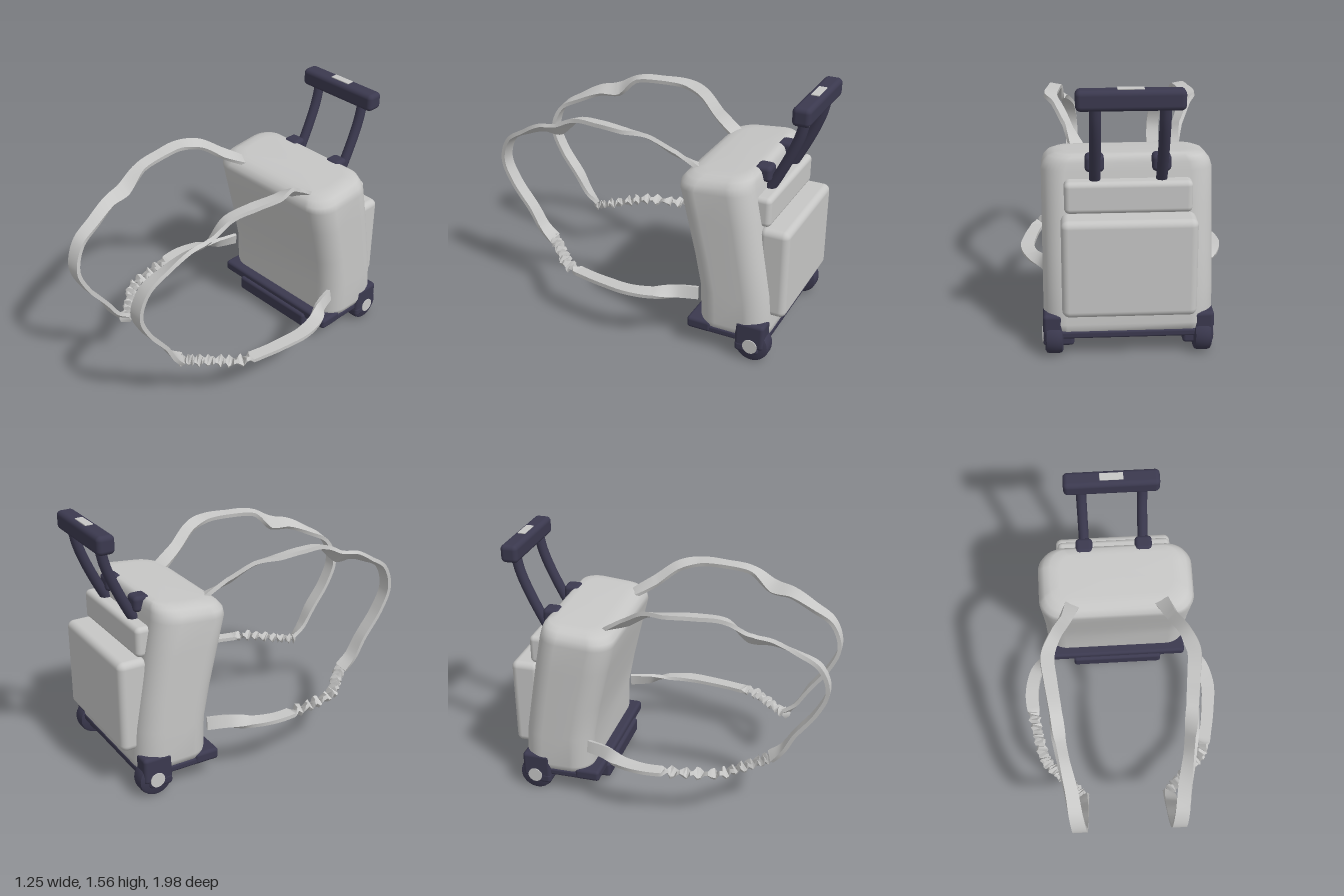
import * as THREE from 'three';
import { toCreasedNormals } from 'three/addons/utils/BufferGeometryUtils.js';
import { RoundedBoxGeometry } from 'three/addons/geometries/RoundedBoxGeometry.js';

export function createModel() {
  const group = new THREE.Group();
  const fabric = new THREE.MeshStandardMaterial({ color: 0xc6c6c5 });
  const plastic = new THREE.MeshStandardMaterial({ color: 0x3b394f });
  fabric.name = 'lightFabric';
  plastic.name = 'darkPlastic';

  const add = (name, geometry, material, x = 0, y = 0, z = 0) => {
    const mesh = new THREE.Mesh(geometry, material);
    mesh.name = name;
    mesh.position.set(x, y, z);
    group.add(mesh);
    return mesh;
  };
  // Rounded box given by its extents
  const block = (name, material, x0, x1, y0, y1, z0, z1, r = 0.02) =>
    add(name, new RoundedBoxGeometry(x1 - x0, y1 - y0, z1 - z0, 4, r), material,
      (x0 + x1) / 2, (y0 + y1) / 2, (z0 + z1) / 2);

  // Leaning body: rounded rectangles stacked as [y, half width, front z, back z, radius, slope]
  const rings = [
    [0.145, 0.43, -0.47, -0.85, 0.1, 0],
    [0.16, 0.46, -0.44, -0.87, 0.12, 0],
    [0.2, 0.475, -0.432, -0.875, 0.13, 0],
    [0.4, 0.475, -0.425, -0.86, 0.13, 0],
    [0.6, 0.475, -0.385, -0.825, 0.13, 0],
    [0.85, 0.475, -0.325, -0.78, 0.13, 0],
    [1.03, 0.475, -0.285, -0.74, 0.13, -0.08],
    [1.07, 0.462, -0.288, -0.73, 0.13, -0.1],
    [1.1, 0.435, -0.312, -0.72, 0.12, -0.1],
    [1.117, 0.395, -0.35, -0.7, 0.1, -0.1],
    [1.122, 0.34, -0.4, -0.66, 0.08, -0.1],
  ];
  const positions = [], index = [], perCorner = 9, n = perCorner * 4;
  for (const [y, w, zf, zb, r, slope] of rings) {
    const mid = (zf + zb) / 2, d = (zf - zb) / 2;
    for (let c = 0; c < 4; c++) {
      const sx = c === 0 || c === 3 ? 1 : -1, sz = c < 2 ? 1 : -1;
      for (let k = 0; k < perCorner; k++) {
        const a = (c + k / (perCorner - 1)) * Math.PI / 2;
        const z = sz * (d - r) + r * Math.sin(a);
        positions.push(sx * (w - r) + r * Math.cos(a), y + slope * z, mid + z);
      }
    }
  }
  for (let j = 0; j < rings.length - 1; j++) {
    for (let i = 0; i < n; i++) {
      const a = j * n + i, b = j * n + (i + 1) % n;
      index.push(a, a + n, b, b, a + n, b + n);
    }
  }
  const top = (rings.length - 1) * n;
  positions.push(0, 0.145, -0.66, 0, 1.122, -0.53);
  for (let i = 0; i < n; i++) {
    const j = (i + 1) % n;
    index.push(rings.length * n, i, j, rings.length * n + 1, top + j, top + i);
  }
  const bodyGeometry = new THREE.BufferGeometry();
  bodyGeometry.setAttribute('position', new THREE.Float32BufferAttribute(positions, 3));
  bodyGeometry.setIndex(index);
  bodyGeometry.computeVertexNormals();
  add('body', bodyGeometry, fabric);

  // Pockets on the back
  block('largePocket', fabric, -0.37, 0.37, 0.27, 0.83, -0.95, -0.77, 0.04);
  block('smallPocket', fabric, -0.35, 0.35, 0.83, 1.01, -0.827, -0.7, 0.03);

  // Base with front foot
  block('basePlate', plastic, -0.46, 0.46, 0.112, 0.158, -0.87, -0.4, 0.015);
  block('baseFrontBar', plastic, -0.465, 0.465, 0.112, 0.183, -0.53, -0.375);
  block('frontFoot', plastic, -0.3, 0.3, 0.045, 0.145, -0.49, -0.355);

  // Pull handle
  block('handleGrip', plastic, -0.285, 0.285, 1.44, 1.55, -0.997, -0.89, 0.028);
  block('handleButton', fabric, -0.07, 0.07, 1.549, 1.557, -0.97, -0.922, 0.003);

  // Flat strip swept along a curve through [x, y, z, roll, width]
  const strap = (name, side, points, crinkleStart) => {
    const curve = new THREE.CatmullRomCurve3(points.map(p => new THREE.Vector3(p[0] * side, p[1], p[2])));
    const spans = points.length - 1, steps = spans * 8, pos = [], idx = [];
    for (let s = 0; s <= steps; s++) {
      const t = s / steps, f = Math.min(t * spans, spans - 1e-6), k = Math.floor(f);
      const mix = c => THREE.MathUtils.lerp(points[k][c], points[k + 1][c], f - k);
      const p = curve.getPoint(t), T = curve.getTangent(t);
      const N = T.clone().cross(new THREE.Vector3(1, 0, 0)).normalize();
      const B = N.clone().cross(T);
      let roll = mix(3) * side, width = mix(4);
      // Gathered webbing near the lower front
      if (p.y < 0.42 && p.z > crinkleStart && p.z < 0.68) {
        roll += 0.85 * Math.sin(s * 1.6);
        width *= 0.85 + 0.2 * Math.sin(s * 2.3);
      }
      const W = B.clone().multiplyScalar(Math.cos(roll)).addScaledVector(N, Math.sin(roll));
      const H = T.clone().cross(W);
      for (const [a, b] of [[1, -1], [1, 1], [-1, 1], [-1, -1]]) {
        const q = p.clone().addScaledVector(W, a * width / 2).addScaledVector(H, b * 0.012);
        pos.push(q.x, q.y, q.z);
      }
    }
    for (let s = 0; s < steps; s++) {
      for (let c = 0; c < 4; c++) {
        const a = s * 4 + c, b = s * 4 + (c + 1) % 4;
        idx.push(a, b, a + 4, b, b + 4, a + 4);
      }
    }
    const e = steps * 4;
    idx.push(0, 2, 1, 0, 3, 2, e, e + 1, e + 2, e, e + 2, e + 3);
    const g = new THREE.BufferGeometry();
    g.setAttribute('position', new THREE.Float32BufferAttribute(pos, 3));
    g.setIndex(idx);
    add(name, toCreasedNormals(g, 0.7), fabric);
  };
  const upperPath = [
    [0.27, 1.08, -0.36, 0.3, 0.09], [0.32, 1.165, -0.22, 0.8, 0.07], [0.38, 1.26, -0.08, 0.6, 0.07],
    [0.42, 1.285, 0.05, 0.2, 0.08], [0.405, 1.29, 0.22, 0.1, 0.075], [0.385, 1.275, 0.39, 0.2, 0.07],
    [0.375, 1.185, 0.53, 0.9, 0.09], [0.355, 1.165, 0.65, 0.7, 0.075], [0.325, 1.1, 0.79, 0.35, 0.075],
    [0.305, 1.02, 0.92, 0.1, 0.08], [0.29, 0.87, 0.975, 0, 0.085], [0.285, 0.72, 0.92, 0, 0.085],
    [0.282, 0.55, 0.8, 0, 0.085], [0.28, 0.43, 0.73, 0.2, 0.08], [0.275, 0.36, 0.66, 0.6, 0.08],
  ];
  const lowerPath = [
    [0.26, 0.35, 0.67, 0.4, 0.08], [0.33, 0.345, 0.59, 0.2, 0.075], [0.42, 0.345, 0.5, 0, 0.075],
    [0.5, 0.343, 0.41, 0, 0.08], [0.545, 0.343, 0.25, 0, 0.075], [0.57, 0.345, 0.1, 0, 0.08],
    [0.582, 0.347, -0.05, 0, 0.085], [0.55, 0.35, -0.2, 0.2, 0.08], [0.48, 0.355, -0.32, 1.2, 0.075],
    [0.44, 0.355, -0.44, 1.4, 0.075],
  ];

  // Paired parts
  for (const s of [1, -1]) {
    const label = s > 0 ? 'left' : 'right';
    const pair = (name, x0, x1, ...rest) =>
      block(label + name, plastic, Math.min(s * x0, s * x1), Math.max(s * x0, s * x1), ...rest);
    strap(label + 'UpperStrap', s, upperPath, 1);
    strap(label + 'LowerStrap', s, lowerPath, s > 0 ? 0.35 : 0.08);

    // Handle rods and their sockets
    const rodCurve = new THREE.CatmullRomCurve3([
      [0.98, -0.745], [1.08, -0.8], [1.25, -0.88], [1.36, -0.92], [1.47, -0.943],
    ].map(([y, z]) => new THREE.Vector3(s * 0.182, y, z)));
    add(label + 'HandleRod', new THREE.TubeGeometry(rodCurve, 20, 0.031, 12), plastic);
    pair('HandleSocket', 0.13, 0.235, 1.05, 1.145, -0.775, -0.675, 0.025);

    // Wheel housing, wheel and hub
    pair('WheelHousing', 0.365, 0.478, 0.09, 0.255, -0.87, -0.69, 0.022);
    pair('WheelBracket', 0.305, 0.48, 0.055, 0.12, -0.84, -0.69, 0.02);
    const profile = [[0, -0.05], [0.085, -0.05], [0.1, -0.042], [0.105, -0.025],
      [0.105, 0.025], [0.1, 0.042], [0.085, 0.05], [0, 0.05]].map(p => new THREE.Vector2(...p));
    const wheel = add(label + 'Wheel', toCreasedNormals(new THREE.LatheGeometry(profile, 32), 0.6),
      plastic, s * 0.417, 0.105, -0.79);
    wheel.rotation.z = Math.PI / 2;
    const hub = add(label + 'WheelHub', new THREE.CylinderGeometry(0.045, 0.045, 0.03, 24),
      fabric, s * 0.469, 0.108, -0.79);
    hub.rotation.z = Math.PI / 2;
  }
  return group;
}
